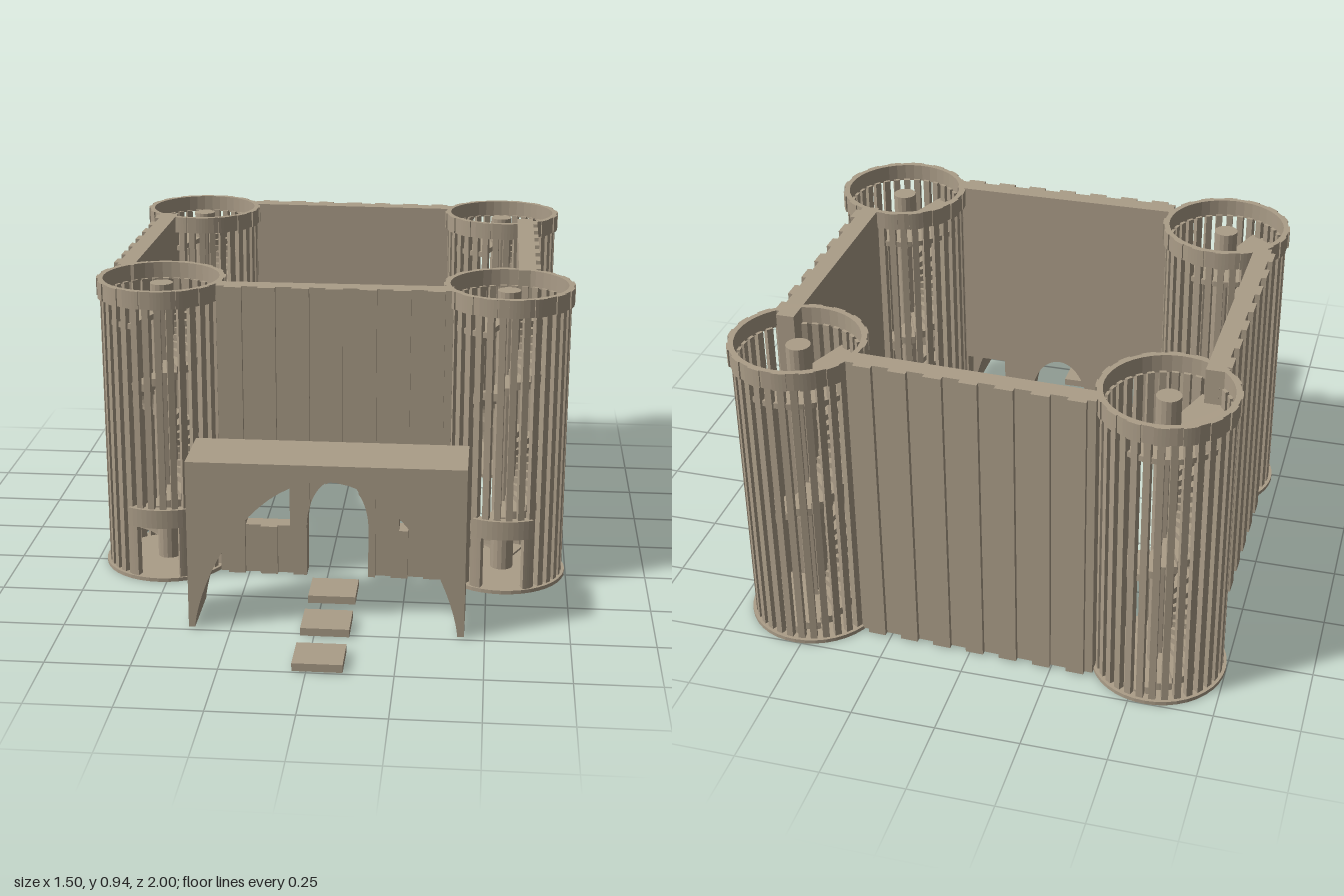
import * as THREE from 'three';

const material = new THREE.MeshStandardMaterial({ color: 0xab9d88, flatShading: true });
const rad = THREE.MathUtils.degToRad;
const TOP = 0.94;

function addMesh(parent, name, geometry) {
  const mesh = new THREE.Mesh(geometry, material);
  mesh.name = name;
  parent.add(mesh);
  return mesh;
}

function box(parent, name, x0, x1, y0, y1, z0, z1) {
  const mesh = addMesh(parent, name, new THREE.BoxGeometry(x1 - x0, y1 - y0, z1 - z0));
  mesh.position.set((x0 + x1) / 2, (y0 + y1) / 2, (z0 + z1) / 2);
  return mesh;
}

function extrude(shape, depth, curveSegments = 12) {
  return new THREE.ExtrudeGeometry(shape, { depth, bevelEnabled: false, curveSegments });
}

// Ring sector between two radii and angles (degrees, 0 = +x, -90 = front)
function sector(r0, r1, a0, a1, y0, y1) {
  const shape = new THREE.Shape();
  shape.absarc(0, 0, r1, rad(a0), rad(a1), false);
  shape.absarc(0, 0, r0, rad(a1), rad(a0), true);
  const segments = Math.max(2, Math.ceil((a1 - a0) / 10));
  return extrude(shape, y1 - y0, segments).rotateX(-Math.PI / 2).translate(0, y0, 0);
}

function ring(r0, r1, y0, y1) {
  const shape = new THREE.Shape().absarc(0, 0, r1, 0, Math.PI * 2, false);
  shape.holes.push(new THREE.Path().absarc(0, 0, r0, 0, Math.PI * 2, true));
  return extrude(shape, y1 - y0, 20).rotateX(-Math.PI / 2).translate(0, y0, 0);
}

// Open post tower with a spiral stair, doorway facing the front
function createTower() {
  const tower = new THREE.Group();
  addMesh(tower, 'towerBase', new THREE.CylinderGeometry(0.2, 0.2, 0.012, 40).translate(0, 0.006, 0));
  addMesh(tower, 'centralColumn', new THREE.CylinderGeometry(0.036, 0.036, 0.91, 16).translate(0, 0.465, 0));

  // Upright posts, shortened above the doorway
  const posts = 32;
  for (let i = 0; i < posts; i++) {
    const angle = (i + 0.5) * 360 / posts;
    const overDoor = Math.abs(angle - 270) < 27;
    const y0 = overDoor ? 0.23 : 0.01;
    const post = addMesh(tower, 'post', new THREE.BoxGeometry(0.02, 0.89 - y0, 0.02));
    post.position.set(0.18 * Math.cos(rad(angle)), (0.89 + y0) / 2, -0.18 * Math.sin(rad(angle)));
    post.rotation.y = rad(angle);
  }

  // Doorway lintel and jambs
  addMesh(tower, 'doorLintel', sector(0.17, 0.2, -118, -62, 0.18, 0.24));
  for (const a of [-118, -70]) addMesh(tower, 'doorJamb', sector(0.17, 0.194, a, a + 8, 0.01, 0.18));

  // Top band with alternating raised boards
  addMesh(tower, 'topBand', ring(0.18, 0.196, 0.885, TOP));
  const boards = 16;
  for (let i = 0; i < boards; i++) {
    const a = i * 360 / boards;
    addMesh(tower, 'topBoard', sector(0.19, 0.2, a, a + 12, 0.885, TOP));
  }

  // Two turns of steps rising anticlockwise to a half-round landing
  const steps = 44, stepAngle = 720 / steps, rise = 0.83 / steps;
  for (let i = 0; i < steps; i++) {
    const a = 65 - 720 + i * stepAngle;
    const y = (i + 1) * rise;
    addMesh(tower, 'stairStep', sector(0.03, 0.172, a, a + stepAngle, Math.max(0.005, y - 0.024), y));
  }
  addMesh(tower, 'topLanding', sector(0.03, 0.182, 65, 250, 0.815, 0.832));
  return tower;
}

// Outline of the material under or over an opening is given by its top(x)
const doorTop = (x) => 0.17 + 0.155 * Math.sqrt(Math.max(0, 1 - ((x - 0.012) / 0.097) ** 2));
const frontOpenings = [
  { x0: -0.28, x1: -0.14, y0: 0.165, top: () => 0.3 },
  { x0: -0.085, x1: 0.109, y0: 0.005, top: doorTop },
  { x0: 0.205, x1: 0.337, y0: 0.165, top: () => 0.3 },
];

// A flat slab between x0 and x1, interrupted by the openings
function slab(parent, name, x0, x1, z, depth, openings) {
  const cuts = openings.flatMap((o) => [o.x0, o.x1]).filter((x) => x > x0 && x < x1);
  const xs = [x0, ...cuts, x1];
  for (let i = 0; i + 1 < xs.length; i++) {
    const [a, b] = [xs[i], xs[i + 1]];
    const mid = (a + b) / 2;
    const opening = openings.find((o) => mid > o.x0 && mid < o.x1);
    if (!opening) {
      box(parent, name, a, b, 0.005, TOP, z, z + depth);
      continue;
    }
    const shape = new THREE.Shape().moveTo(b, TOP).lineTo(a, TOP);
    for (let k = 0; k <= 24; k++) {
      const x = mid - (b - a) / 2 * Math.cos(Math.PI * k / 24);
      shape.lineTo(x, opening.top(x));
    }
    addMesh(parent, name, extrude(shape, depth).translate(0, 0, z));
    if (opening.y0 > 0.01) box(parent, name, a, b, 0.005, opening.y0, z, z + depth);
  }
}

// Wall core with alternate raised planks on its outer (+z) face
function createWall(name, length, openings = []) {
  const wall = new THREE.Group();
  wall.name = name;
  slab(wall, 'wallCore', -length / 2, length / 2, -0.054, 0.054, openings);
  const planks = 7, pitch = length / planks;
  for (let i = 0; i < planks; i++) {
    const x = -length / 2 + (i + 0.25) * pitch;
    slab(wall, 'wallPlank', x, x + pitch * 0.52, 0, 0.015, openings);
  }
  return wall;
}

// Free-standing gate with a wide arch
function createGate() {
  const shape = new THREE.Shape().moveTo(0.44, 0.005).lineTo(0.44, 0.525).lineTo(-0.375, 0.525).lineTo(-0.375, 0.005);
  const n = 36;
  for (let i = 0; i <= n; i++) {
    const t = Math.PI * (1 - i / n);
    shape.lineTo(0.032 + 0.388 * Math.cos(t), 0.005 + 0.472 * Math.max(0, Math.sin(t)) ** 1.4);
  }
  return extrude(shape, 0.21).translate(0, 0, 0.53);
}

export function createModel() {
  const model = new THREE.Group();
  model.name = 'fort';

  const tower = createTower();
  const towers = [
    ['backRightTower', -0.55, -0.8],
    ['backLeftTower', 0.52, -0.8],
    ['frontRightTower', -0.525, 0.217],
    ['frontLeftTower', 0.547, 0.217],
  ];
  for (const [name, x, z] of towers) {
    const copy = tower.clone();
    copy.name = name;
    copy.position.set(x, 0, z);
    model.add(copy);
  }

  const walls = [
    ['frontWall', 0.72, 0.02, 0.318, 0, frontOpenings],
    ['backWall', 0.72, -0.015, -0.9, Math.PI - 0.035],
    ['leftWall', 0.74, 0.63, -0.32, Math.PI / 2],
    ['rightWall', 0.76, -0.685, -0.295, -Math.PI / 2 - 0.015],
  ];
  for (const [name, length, x, z, turn, openings] of walls) {
    const wall = createWall(name, length, openings);
    wall.position.set(x, 0, z);
    wall.rotation.y = turn;
    model.add(wall);
  }

  addMesh(model, 'archGate', createGate());

  // Stepping stones leading to the door
  for (const z of [0.405, 0.635, 0.865]) box(model, 'steppingStone', -0.04, 0.105, 0.004, 0.028, z, z + 0.135);

  return model;
}
